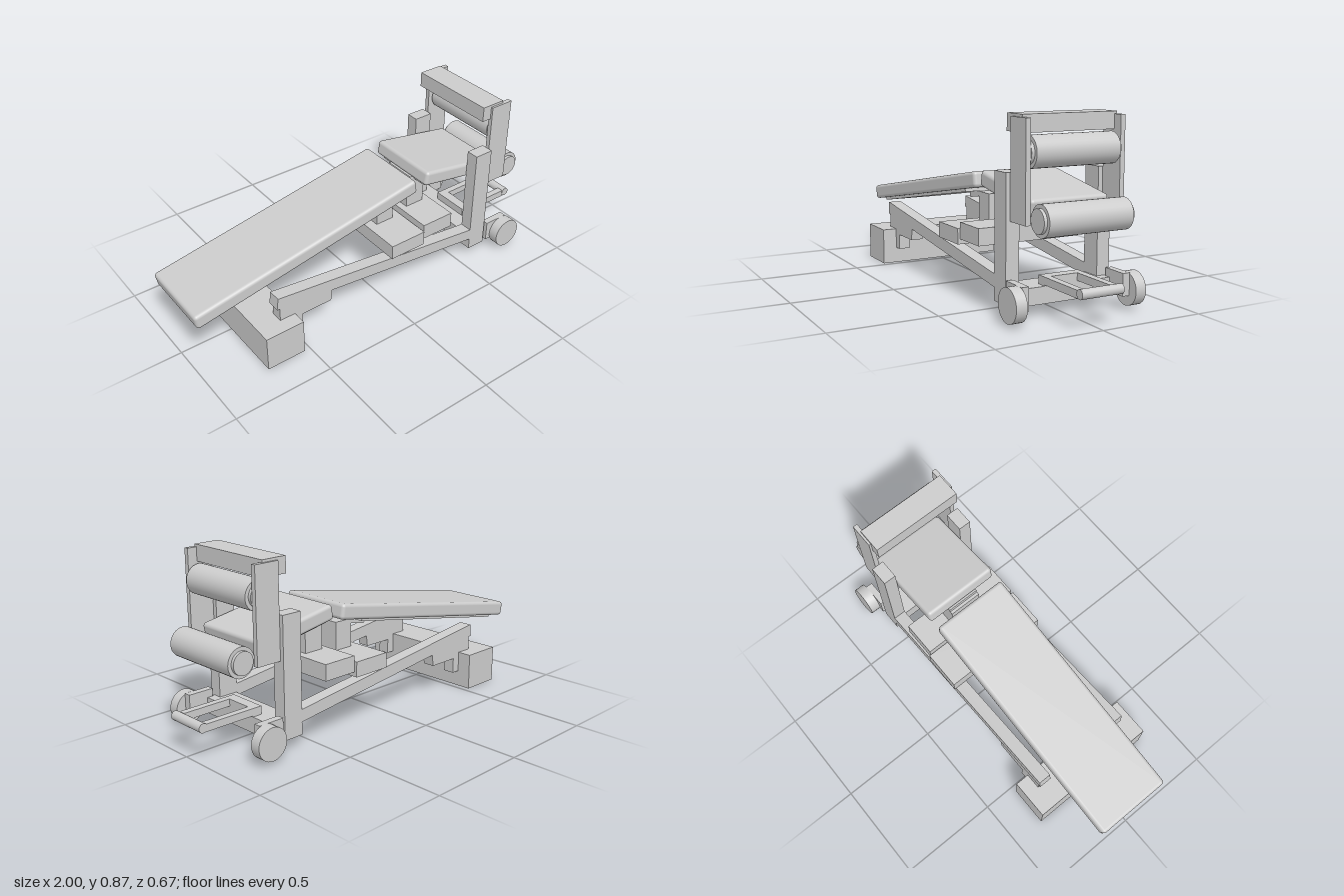
import * as THREE from 'three';
import { RoundedBoxGeometry } from 'three/addons/geometries/RoundedBoxGeometry.js';

const material = new THREE.MeshStandardMaterial({ color: 0xcccccc });

function add(parent, name, geometry, x = 0, y = 0, z = 0) {
  const mesh = new THREE.Mesh(geometry, material);
  mesh.name = name;
  mesh.position.set(x, y, z);
  parent.add(mesh);
  return mesh;
}

// Box given by its limits on each axis
function box(parent, name, [x0, x1], [y0, y1], [z0, z1]) {
  return add(parent, name, new THREE.BoxGeometry(x1 - x0, y1 - y0, z1 - z0),
    (x0 + x1) / 2, (y0 + y1) / 2, (z0 + z1) / 2);
}

// Cylinder lying along z
function rod(parent, name, radius, length, x, y, z = 0) {
  const geometry = new THREE.CylinderGeometry(radius, radius, length, 32).rotateX(Math.PI / 2);
  return add(parent, name, geometry, x, y, z);
}

// Side outline in x and y, extruded between two z values
function slab(parent, name, points, z0, z1) {
  const shape = new THREE.Shape(points.map(([x, y]) => new THREE.Vector2(x, y)));
  const geometry = new THREE.ExtrudeGeometry(shape, { depth: z1 - z0, bevelEnabled: false });
  return add(parent, name, geometry, 0, 0, z0);
}

// Tilted cushion with a thin backing board
function cushion(parent, name, length, x, y, angle, boardFrom, boardTo) {
  const group = new THREE.Group();
  group.name = name;
  group.position.set(x, y, 0);
  group.rotation.z = angle;
  add(group, name + 'Pad', new RoundedBoxGeometry(length, 0.075, 0.39, 4, 0.017));
  box(group, name + 'Board', [boardFrom, boardTo], [-0.052, -0.036], [-0.16, 0.16]);
  parent.add(group);
  return group;
}

export function createModel() {
  const model = new THREE.Group();
  model.name = 'weightBench';

  // Cushions
  const back = cushion(model, 'backrest', 1.258, -0.374, 0.427, 0.178, -0.56, 0.46);
  box(back, 'backrestMount', [0.36, 0.46], [-0.078, -0.05], [-0.085, 0.085]);
  const seat = cushion(model, 'seat', 0.45, 0.525, 0.514, -0.174, -0.2, 0.18);
  box(seat, 'seatMount', [-0.23, -0.14], [-0.052, -0.037], [-0.085, 0.085]);

  // Cushion supports
  box(model, 'backrestCrossbar', [0.035, 0.235], [0.24, 0.315], [-0.275, 0.275]);
  box(model, 'backrestPost', [0.085, 0.185], [0.315, 0.455], [-0.085, 0.085]);
  box(model, 'seatCrossbar', [0.24, 0.42], [0.265, 0.345], [-0.265, 0.265]);
  box(model, 'seatPost', [0.275, 0.38], [0.345, 0.5], [-0.085, 0.085]);

  // Base
  box(model, 'rearFoot', [-0.73, -0.53], [0, 0.182], [-0.335, 0.335]);
  box(model, 'frontCrossbar', [0.57, 0.71], [0.053, 0.13], [-0.245, 0.245]);

  // Paired frame parts
  for (const side of [1, -1]) {
    const pair = new THREE.Group();
    pair.name = side > 0 ? 'leftFrame' : 'rightFrame';
    const across = (a, b) => (side > 0 ? [a, b] : [-b, -a]);
    slab(pair, 'sideRail',
      [[-0.625, 0.253], [0.57, 0.113], [0.57, 0.172], [-0.617, 0.315]], ...across(0.2, 0.265));
    slab(pair, 'rearBracket',
      [[-0.61, 0.18], [-0.53, 0.18], [-0.53, 0.08], [-0.487, 0.08], [-0.487, 0.157],
        [-0.325, 0.157], [-0.317, 0.22], [-0.61, 0.255]], ...across(0.202, 0.263));
    box(pair, 'frontPost', [0.565, 0.665], [0.053, 0.622], across(0.2, 0.265));
    box(pair, 'rollerUpright', [0.665, 0.79], [0.415, 0.855], across(0.222, 0.245));
    box(pair, 'wheelBracket', [0.68, 0.81], [0.065, 0.168], across(0.237, 0.272));
    rod(pair, 'wheel', 0.077, 0.053, 0.782, 0.092, side * 0.298);
    box(pair, 'handleArm', [0.69, 0.975], [0.135, 0.17], across(0.066, 0.1));
    model.add(pair);
  }

  // Carrying handle
  rod(model, 'handleGrip', 0.022, 0.206, 0.977, 0.157);
  box(model, 'handleMount', [0.66, 0.71], [0.125, 0.17], [-0.1, 0.1]);

  // Leg rollers and top bar
  box(model, 'topBar', [0.615, 0.743], [0.79, 0.867], [-0.234, 0.234]);
  for (const [name, x, y] of [['upperRoller', 0.745, 0.713], ['lowerRoller', 0.845, 0.442]]) {
    rod(model, name, 0.07, 0.414, x, y);
    rod(model, name + 'Core', 0.053, 0.444, x, y);
  }

  return model;
}
